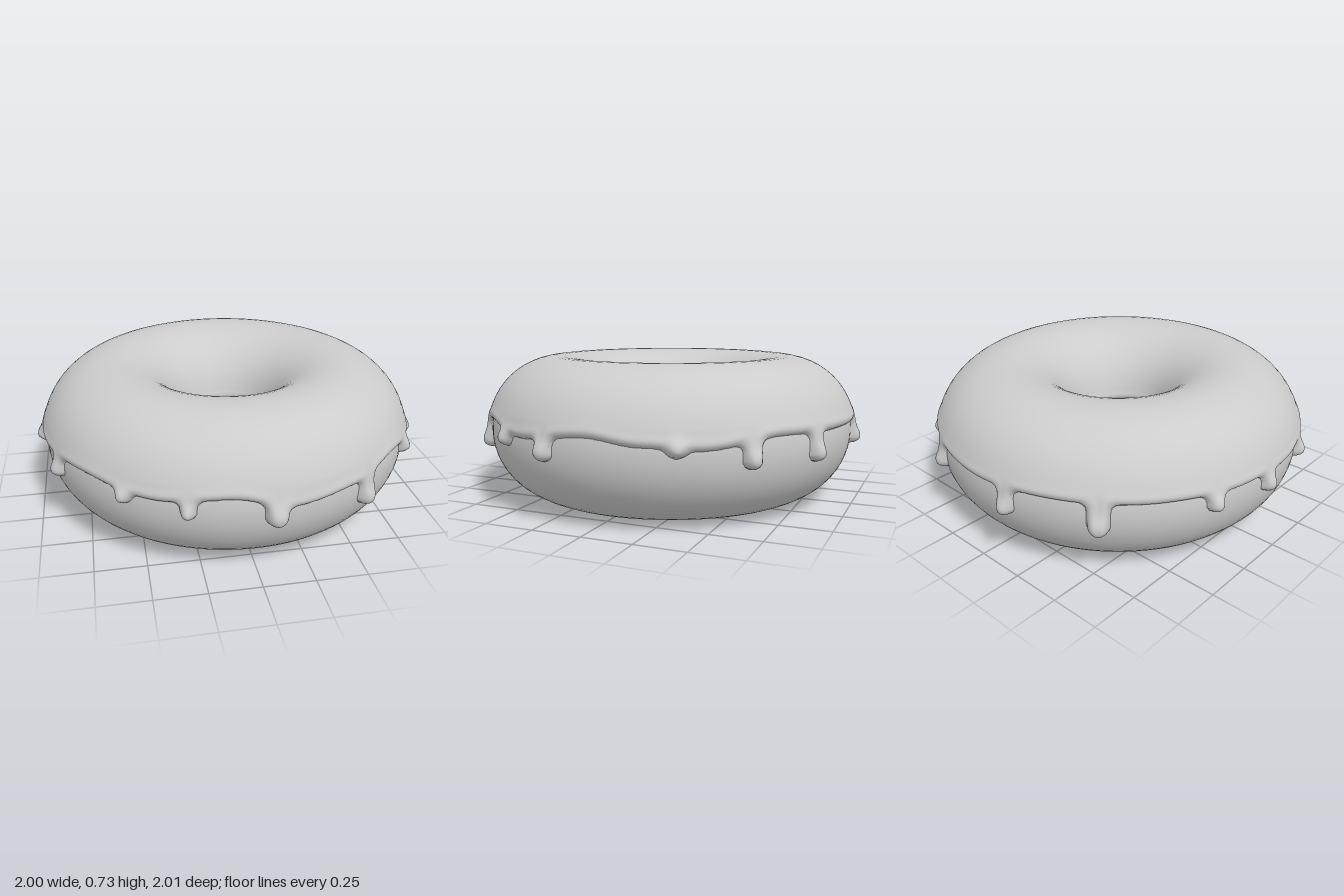
import * as THREE from 'three';

const RING = 0.605, TUBE = 0.355, MID = 0.36;
const DEG = Math.PI / 180;

// Icing rim height by angle (degrees from the front towards +x)
const outerRim = [[-180, 0.425], [-155, 0.435], [-125, 0.43], [-100, 0.42], [-78, 0.41], [-52, 0.435],
  [-30, 0.41], [-8, 0.44], [9, 0.38], [27, 0.4], [45, 0.44], [66, 0.4], [90, 0.44], [105, 0.41],
  [120, 0.395], [143, 0.44], [165, 0.43], [180, 0.425]];
const innerRim = [[-180, 0.38], [-120, 0.39], [-60, 0.36], [0, 0.38], [60, 0.37], [120, 0.39], [180, 0.38]];

// Drips: angle, tip height, half width
const outerDrips = [[3.5, 0.29, 0.052], [33, 0.26, 0.047], [59, 0.345, 0.04], [76.4, 0.31, 0.046],
  [114, 0.365, 0.04], [134, 0.3, 0.044], [156, 0.295, 0.042], [-170, 0.29, 0.042], [-143, 0.27, 0.052],
  [-111, 0.335, 0.042], [-91, 0.32, 0.042], [-67, 0.315, 0.042], [-38.5, 0.36, 0.038], [-20, 0.335, 0.036]];
const innerDrips = [[12, 0.28, 0.024], [-21, 0.33, 0.02], [-47, 0.3, 0.024], [-79, 0.3, 0.022],
  [60, 0.31, 0.022], [105, 0.29, 0.024], [150, 0.32, 0.022], [-165, 0.29, 0.024], [-122, 0.31, 0.022]];

function rimHeight(rim, a) {
  let i = 0;
  while (i < rim.length - 2 && a > rim[i + 1][0]) i++;
  const [a0, y0] = rim[i], [a1, y1] = rim[i + 1];
  return THREE.MathUtils.lerp(y0, y1, THREE.MathUtils.smoothstep(a, a0, a1));
}

function smoothMin(a, b, k) {
  const h = Math.max(k - Math.abs(a - b), 0) / k;
  return Math.min(a, b) - h * h * k / 4;
}

// Icing thickness above the dough, rounded at the rim and swollen at drip tips
function thickness(angle, y, outer) {
  const radius = outer ? 0.96 : 0.25;
  let dist = rimHeight(outer ? outerRim : innerRim, angle) - y;
  let swell = 0;
  for (const [a, tip, w] of outer ? outerDrips : innerDrips) {
    const da = ((angle - a + 540) % 360) - 180;
    const dx = da * DEG * radius;
    if (Math.abs(dx) > 0.2) continue;
    const centre = tip + w;
    const dy = y < centre ? y - centre : Math.max(0, y - 0.46);
    dist = smoothMin(dist, Math.hypot(dx, dy) - w, outer ? 0.05 : 0.025);
    const r2 = (dx * dx + (y - centre) ** 2) / (w * w);
    swell = Math.max(swell, w * 0.6 * Math.exp(-r2));
  }
  const d = -dist;
  if (d < 0) return Math.max(d * 1.5, -0.02);
  const round = Math.sqrt(1 - (1 - Math.min(d / 0.028, 1)) ** 2);
  const lip = 0.004 * Math.exp(-(((d - 0.03) / 0.02) ** 2));
  return (0.022 + lip + swell) * round;
}

function icingGeometry() {
  const segs = 700;
  // Rows run from the outer rim over the top to the inner rim, dense near both rims
  const rows = [];
  const band = (from, to, n) => { for (let i = 0; i < n; i++) rows.push(from + (to - from) * i / n); };
  band(-0.36, 0.36, 44);
  band(0.36, Math.PI - 0.25, 22);
  band(Math.PI - 0.25, Math.PI + 0.34, 25);
  const pos = [], thick = [], index = [];
  for (const phi of rows) {
    const y = MID + 0.37 * Math.sin(phi);
    for (let i = 0; i < segs; i++) {
      const theta = i / segs * Math.PI * 2 - Math.PI;
      const t = thickness(theta / DEG, y, phi < Math.PI / 2);
      const r = RING + (TUBE + t) * Math.cos(phi);
      pos.push(r * Math.sin(theta), MID + (TUBE + t) * Math.sin(phi), r * Math.cos(theta));
      thick.push(t);
    }
  }
  // Leave out faces buried in the dough
  const face = (a, b, c) => {
    if (Math.max(thick[a], thick[b], thick[c]) > -0.012) index.push(a, b, c);
  };
  for (let j = 0; j < rows.length - 1; j++) {
    for (let i = 0; i < segs; i++) {
      const k = (i + 1) % segs;
      const a = j * segs + i, b = j * segs + k, c = b + segs, d = a + segs;
      face(a, b, c);
      face(a, c, d);
    }
  }
  const geo = new THREE.BufferGeometry();
  geo.setAttribute('position', new THREE.Float32BufferAttribute(pos, 3));
  geo.setIndex(index);
  geo.computeVertexNormals();
  return geo;
}

export function createModel() {
  const model = new THREE.Group();
  model.name = 'donut';
  const grey = new THREE.MeshStandardMaterial({ color: 0xcccccc });
  grey.name = 'plain grey';

  // Dough ring
  const dough = new THREE.Mesh(new THREE.TorusGeometry(RING, TUBE, 56, 128).rotateX(Math.PI / 2), grey);
  dough.position.y = MID;
  dough.name = 'dough';

  // Dripping icing
  const icing = new THREE.Mesh(icingGeometry(), grey);
  icing.name = 'icing';

  const ring = new THREE.Group();
  ring.name = 'ring';
  ring.position.set(0.01, -0.005, -0.015);
  dough.position.y = MID;
  ring.position.y = TUBE - MID;
  ring.add(dough, icing);
  model.add(ring);
  return model;
}
